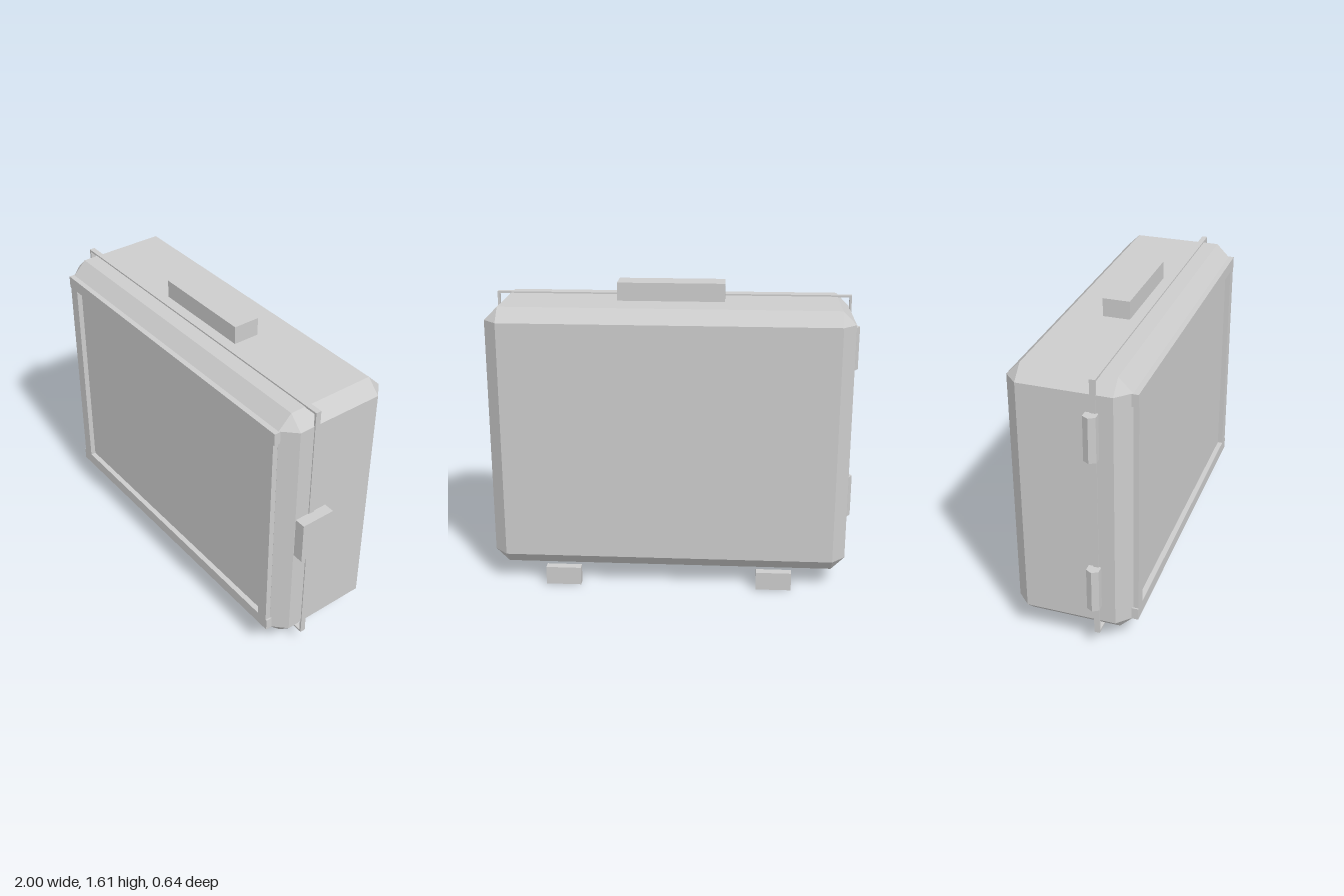
import * as THREE from 'three';
import { ConvexGeometry } from 'three/addons/geometries/ConvexGeometry.js';

const shellGrey = new THREE.MeshStandardMaterial({ color: 0xcccccc });
shellGrey.name = 'shell grey';
shellGrey.flatShading = true;

// Box given by its lower and upper corners
function box(name, [x0, y0, z0], [x1, y1, z1]) {
  const mesh = new THREE.Mesh(new THREE.BoxGeometry(x1 - x0, y1 - y0, z1 - z0), shellGrey);
  mesh.position.set((x0 + x1) / 2, (y0 + y1) / 2, (z0 + z1) / 2);
  mesh.name = name;
  return mesh;
}

// Six-sided pin
function hexPin(name, radius, length) {
  const mesh = new THREE.Mesh(new THREE.CylinderGeometry(radius, radius, length, 6), shellGrey);
  mesh.name = name;
  return mesh;
}

// Box with every edge and corner bevelled
function bevelledBox(name, w, h, d, bevel) {
  const half = [w / 2, h / 2, d / 2];
  const points = [];
  for (const sx of [-1, 1]) for (const sy of [-1, 1]) for (const sz of [-1, 1]) {
    for (let axis = 0; axis < 3; axis++) {
      const p = half.map((v, i) => (i === axis ? v : v - bevel));
      points.push(new THREE.Vector3(sx * p[0], sy * p[1], sz * p[2]));
    }
  }
  const mesh = new THREE.Mesh(new ConvexGeometry(points), shellGrey);
  mesh.name = name;
  return mesh;
}

export function createModel() {
  const model = new THREE.Group();
  model.name = 'carryingCase';

  // Main shell
  const body = bevelledBox('body', 1.885, 1.41, 0.611, 0.07);
  body.position.set(0, 0.805, -0.0145);
  model.add(body);

  // Raised border on the lid
  const lidFrame = new THREE.Group();
  lidFrame.name = 'lidFrame';
  lidFrame.add(
    box('topBorder', [-0.88, 1.375, 0.285], [0.88, 1.44, 0.319]),
    box('bottomBorder', [-0.88, 0.17, 0.285], [0.88, 0.235, 0.319]),
  );
  for (const s of [-1, 1]) {
    const side = box('sideBorder', [0.81, 0.235, 0.285], [0.872, 1.375, 0.319]);
    side.position.x *= s;
    lidFrame.add(side);
  }
  model.add(lidFrame);

  // Thin square-cornered seam strip around the shell
  const seam = new THREE.Group();
  seam.name = 'seamStrip';
  seam.add(
    box('seamTop', [-0.948, 1.507, 0.111], [0.948, 1.518, 0.14]),
    box('seamBottom', [-0.948, 0.092, 0.111], [0.948, 0.103, 0.14]),
    box('seamRight', [-0.948, 0.103, 0.111], [-0.937, 1.507, 0.14]),
    box('seamLeft', [0.937, 0.103, 0.111], [0.948, 1.507, 0.14]),
  );
  model.add(seam);

  // Handle and side latch
  model.add(box('handle', [-0.28, 1.5, -0.063], [0.28, 1.605, 0.077]));
  model.add(box('latch', [0.93, 0.69, 0.034], [1, 0.92, 0.218]));

  // Hinge barrels
  for (const y of [0.382, 1.232]) {
    const hinge = hexPin('hinge', 0.037, 0.235);
    hinge.rotation.y = Math.PI / 2;
    hinge.position.set(-0.963, y, 0.12);
    model.add(hinge);
  }

  // Feet with their short pins
  for (const s of [-1, 1]) {
    const foot = new THREE.Group();
    foot.name = 'foot';
    const pin = hexPin('footPin', 0.028, 0.03);
    pin.rotation.set(Math.PI / 2, Math.PI / 2, 0);
    pin.position.set(0, 0.052, -0.272);
    foot.add(box('footBlock', [-0.094, 0, -0.32], [0.094, 0.098, -0.274]), pin);
    foot.position.x = s * 0.565;
    model.add(foot);
  }

  return model;
}
